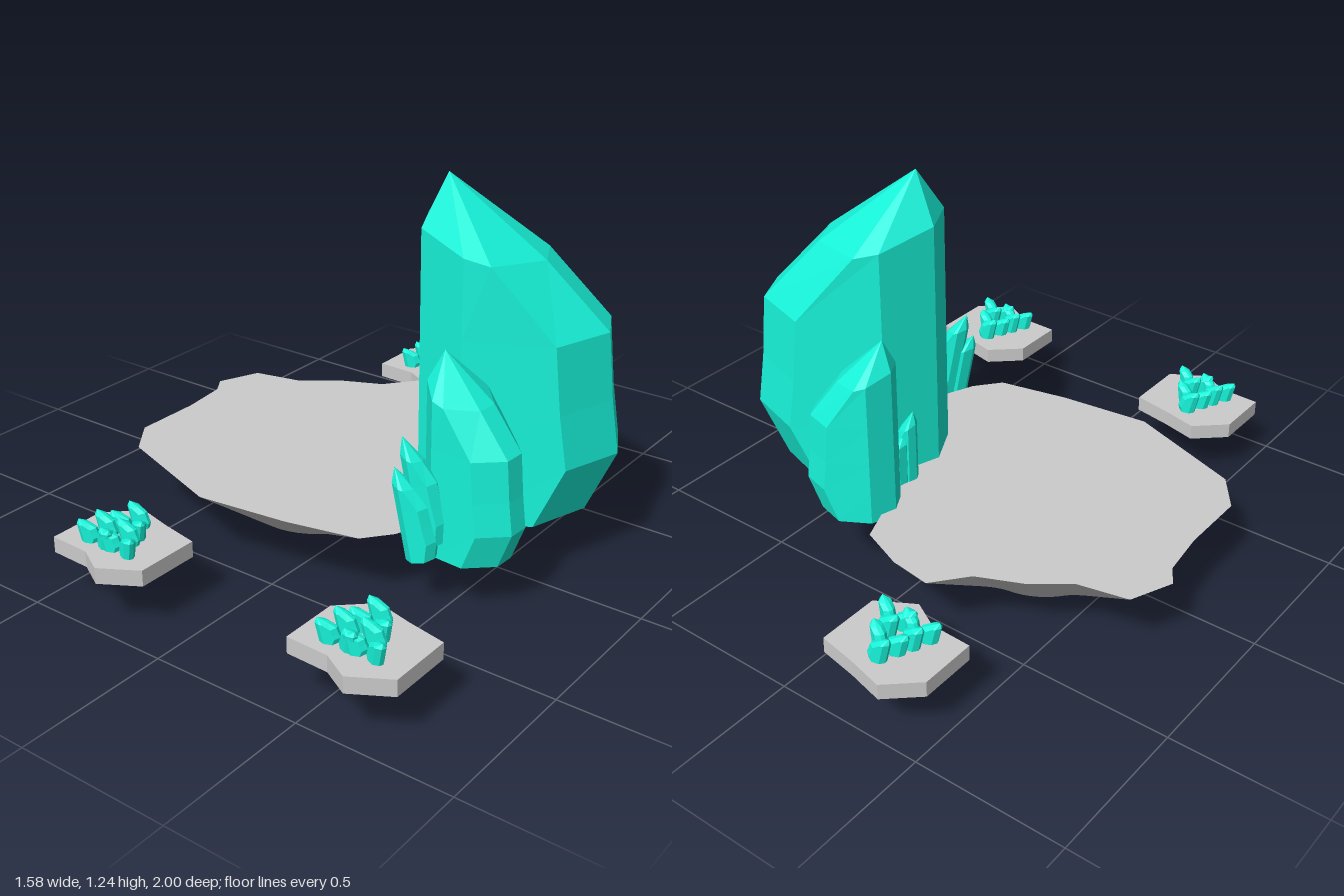
import * as THREE from 'three';
import { toCreasedNormals } from 'three/addons/utils/BufferGeometryUtils.js';

const grey = new THREE.MeshStandardMaterial({ color: 0xcccccc });
const greyFlat = new THREE.MeshStandardMaterial({ color: 0xcccccc, flatShading: true });
const teal = new THREE.MeshStandardMaterial({ color: 0x17f3d9, flatShading: true });

// Skin between rings of [x, y, z] points (clockwise seen from above), capped at both ends.
function loft(rings, apex) {
  const pos = [];
  const n = rings[0].length;
  const tri = (...p) => p.forEach((v) => pos.push(...v));
  const middle = (ring) => [0, 1, 2].map((k) => ring.reduce((s, p) => s + p[k], 0) / n);
  const last = rings[rings.length - 1];
  const low = middle(rings[0]);
  const high = apex || middle(last);
  for (let i = 0; i < n; i++) {
    const j = (i + 1) % n;
    for (let r = 0; r < rings.length - 1; r++) {
      const a = rings[r], b = rings[r + 1];
      tri(a[j], a[i], b[i]);
      tri(a[j], b[i], b[j]);
    }
    tri(low, rings[0][i], rings[0][j]);
    tri(last[j], last[i], high);
  }
  const g = new THREE.BufferGeometry();
  g.setAttribute('position', new THREE.Float32BufferAttribute(pos, 3));
  g.computeVertexNormals();
  return g;
}

function add(parent, name, geometry, material) {
  const m = new THREE.Mesh(geometry, material);
  m.name = name;
  parent.add(m);
  return m;
}

// Crystal: eight-sided column, straight on one side and bowed along +x on the other.
function crystalGeometry() {
  const half = [[-0.07, 0.075, 0.88], [0.07, 0.215, 0.84], [0.39, 0.22, 0.82], [0.54, 0.07, 0.8]];
  const section = [
    ...half.map(([x, z, top]) => [x, -z, top]),
    ...half.slice().reverse(),
  ];
  const levels = [[0, -0.09], [0.19, 0], [0.36, -0.025], [0.57, -0.045], [1, -0.24]];
  const rings = levels.map(([y, shift]) => section.map(([x, z, top]) =>
    [x > 0.2 ? x + shift : x, y === 1 ? top : y * 1.03, z]));
  return loft(rings, [0, 1.035, 0]);
}

const PLATE = [[-0.175, -0.08], [-0.075, -0.17], [0.045, -0.14], [0.175, -0.115],
  [0.175, 0.095], [0.055, 0.165], [-0.035, 0.115], [-0.175, 0.11]];

const ISLAND = [[-0.22, -0.61], [-0.08, -0.59], [0.07, -0.53], [0.11, -0.43], [0.2, -0.32],
  [0.31, -0.2], [0.4, -0.05], [0.43, 0.1], [0.42, 0.25], [0.37, 0.37], [0.3, 0.455],
  [0.06, 0.505], [-0.25, 0.54], [-0.65, 0.4], [-0.74, 0.28], [-0.74, 0.05], [-0.76, -0.11],
  [-0.8, -0.17], [-0.74, -0.31], [-0.575, -0.345], [-0.455, -0.435], [-0.31, -0.5]];

export function createModel() {
  const model = new THREE.Group();
  model.name = 'crystalIslands';
  const crystalShape = crystalGeometry();

  // Position is the point under the tip; yaw turns the bow, tilt leans the tip away from it.
  function crystal(parent, name, [x, y, z], scale, yaw, tilt = 0) {
    const m = add(parent, name, crystalShape, teal);
    m.position.set(x, y, z);
    m.scale.set(...scale);
    m.rotation.set(0, yaw, tilt);
  }

  // Main island: ragged flat top narrowing to a round foot
  const rim = [], foot = [];
  ISLAND.forEach(([x, z], i) => {
    const [nx, nz] = ISLAND[(i + 1) % ISLAND.length];
    for (let k = 0; k < 4; k++) {
      const px = x + (nx - x) * k / 4, pz = z + (nz - z) * k / 4;
      const a = Math.atan2(pz + 0.015, px + 0.225);
      rim.push([px, 0.24, pz]);
      foot.push([-0.225 + 0.235 * Math.cos(a), 0, -0.015 + 0.235 * Math.sin(a)]);
    }
  });
  add(model, 'mainIsland', toCreasedNormals(loft([foot, rim]), 0.5), grey);

  // Large crystals and the shoots beside them
  const big = new THREE.Group();
  big.name = 'largeCrystals';
  model.add(big);
  crystal(big, 'tallCrystal', [0.27, 0.2, -0.03], [1, 1, 1], 0.47);
  crystal(big, 'frontCrystal', [0.418, 0.165, 0.195], [0.51, 0.595, 0.5], -0.05);
  crystal(big, 'backCrystal', [0.14, 0.22, -0.36], [0.46, 0.585, 0.46], 0.5);
  crystal(big, 'frontShootLow', [0.41, 0.165, 0.345], [0.17, 0.285, 0.18], 0.35, 0.18);
  crystal(big, 'frontShootHigh', [0.425, 0.21, 0.315], [0.17, 0.33, 0.17], 0.35, 0.18);
  crystal(big, 'backShoot', [0.165, 0.21, -0.2], [0.14, 0.27, 0.16], 0.5);
  crystal(big, 'backShootLow', [0.175, 0.21, -0.235], [0.14, 0.2, 0.16], 0.5);

  // Three small islands, each with three clusters of three tiny crystals
  const plateShape = loft([0.155, 0.207].map((y) => PLATE.map(([x, z]) => [x, y, z])));
  const clusters = [[0, -0.06], [-0.04, 0.035], [0.05, 0.035]];
  const shoots = [[-0.025, -0.025, 0.2], [-0.047, 0.03, 0.4], [0.047, 0.03, Math.PI - 0.4]];
  [[-0.295, -0.83], [-0.295, 0.83], [0.6, 0.83]].forEach(([x, z]) => {
    const island = new THREE.Group();
    island.name = 'smallIsland';
    island.position.set(x, 0, z);
    model.add(island);
    add(island, 'plate', plateShape, greyFlat);
    clusters.forEach(([cx, cz]) => shoots.forEach(([sx, sz, yaw], i) => {
      const h = i === 0 ? 0.088 : 0.075;
      crystal(island, 'tinyCrystal', [cx + sx, 0.2, cz + sz], [0.1, h, 0.085], yaw, 0.22);
    }));
  });

  return model;
}
